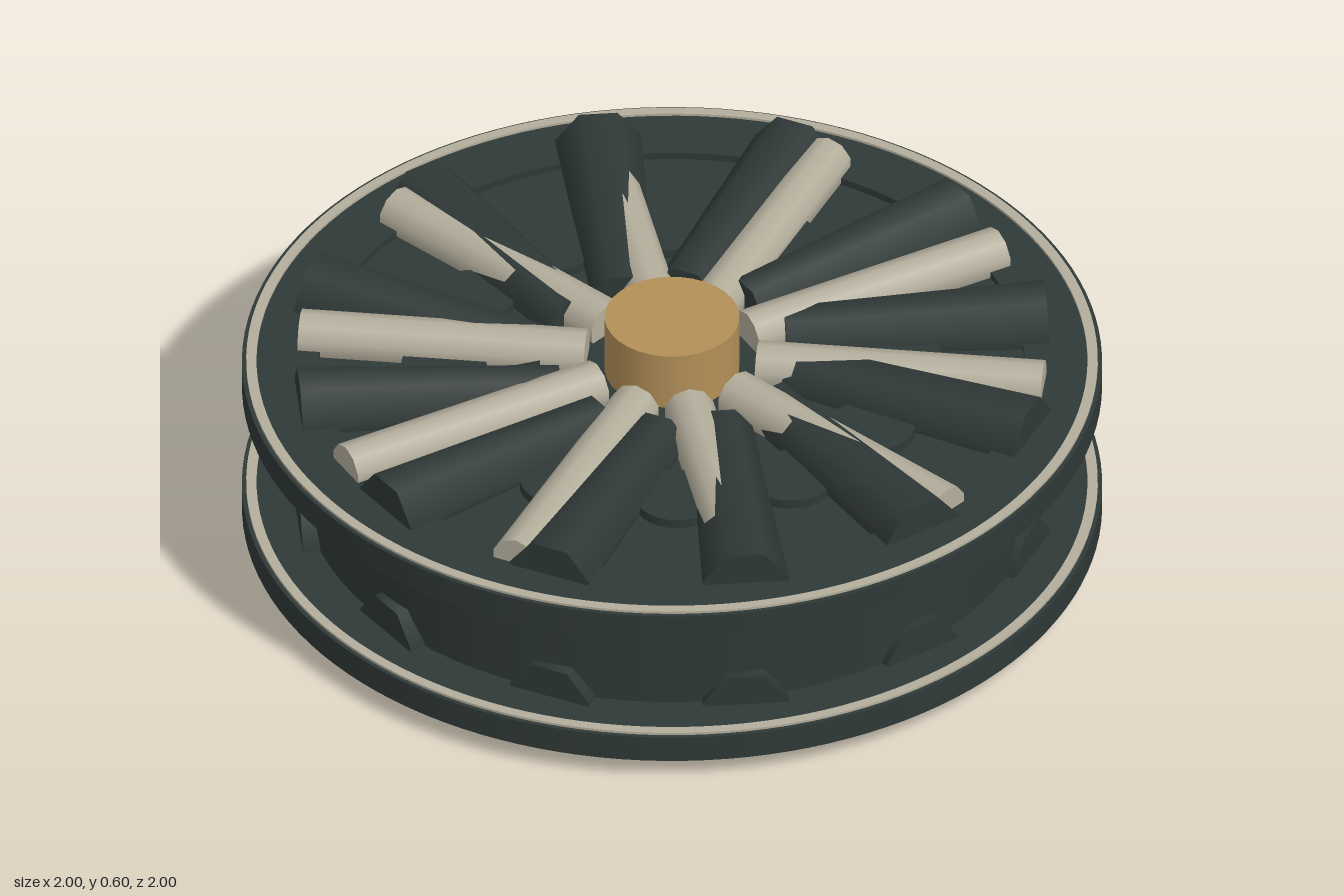
import * as THREE from 'three';

export function createModel() {
  const model = new THREE.Group();
  const material = (name, color) => Object.assign(new THREE.MeshStandardMaterial({ color }), { name });
  const dark = material('dark green grey', 0x2f3937);
  const light = material('pale stone', 0xb3ad9b);
  const brass = material('brass', 0xb38f58);

  const add = (name, geometry, mat, parent = model) => {
    const mesh = new THREE.Mesh(geometry, mat);
    mesh.name = name;
    parent.add(mesh);
    return mesh;
  };
  const disc = (radius, bottom, top, sides = 96) =>
    new THREE.CylinderGeometry(radius, radius, top - bottom, sides).translate(0, (top + bottom) / 2, 0);

  // Flat ring with a rectangular section
  const ring = (inner, outer, bottom, top) => {
    const shape = new THREE.Shape().absarc(0, 0, outer, 0, Math.PI * 2);
    shape.holes.push(new THREE.Path().absarc(0, 0, inner, 0, Math.PI * 2, true));
    return new THREE.ExtrudeGeometry(shape, { depth: top - bottom, bevelEnabled: false, curveSegments: 64 })
      .rotateX(-Math.PI / 2).translate(0, bottom, 0);
  };

  // Tapered rod lying along x, with a corner pointing down
  const rod = (innerRadius, outerRadius, start, end, sides) =>
    new THREE.CylinderGeometry(outerRadius, innerRadius, end - start, sides, 1, false, Math.PI / 2)
      .rotateZ(-Math.PI / 2).translate((start + end) / 2, 0, 0);

  // Drum between the two flanges
  add('drum', disc(0.86, 0.075, 0.452), dark);

  // Flanges with pale trim, each carrying twelve offset spokes
  const spoke = rod(0.075, 0.104, 0.27, 0.88, 7);
  for (const [side, y] of [['lower', 0], ['upper', 0.35]]) {
    add(side + 'Flange', ring(0.82, 1, 0.053 + y, 0.12 + y), dark);
    add(side + 'Trim', ring(0.966, 0.99, 0.119 + y, 0.126 + y), light);
    for (let i = 0; i < 12; i++) {
      const arm = new THREE.Group();
      arm.name = side + 'Spoke';
      arm.rotation.y = THREE.MathUtils.degToRad(12 + 30 * i);
      add('spokeBar', spoke, dark, arm).position.set(0, 0.104 + y, -0.09);
      model.add(arm);
    }
  }

  // Ten thin pale rods on the upper face
  const paleRod = rod(0.06, 0.06, 0.2, 0.87, 10);
  for (let i = 0; i < 10; i++) {
    const mesh = add('paleRod', paleRod, light);
    mesh.position.y = 0.475;
    mesh.rotation.y = i * Math.PI / 5;
  }

  // Low round bosses between the spokes
  const boss = disc(0.1, 0.44, 0.475, 24);
  for (let i = 0; i < 12; i++) {
    const a = THREE.MathUtils.degToRad(8 + 30 * i);
    add('boss', boss, dark).position.set(0.53 * Math.cos(a), 0, -0.53 * Math.sin(a));
  }

  // Central brass cap
  add('hubCap', disc(0.157, 0.42, 0.6, 32), brass);

  return model;
}
